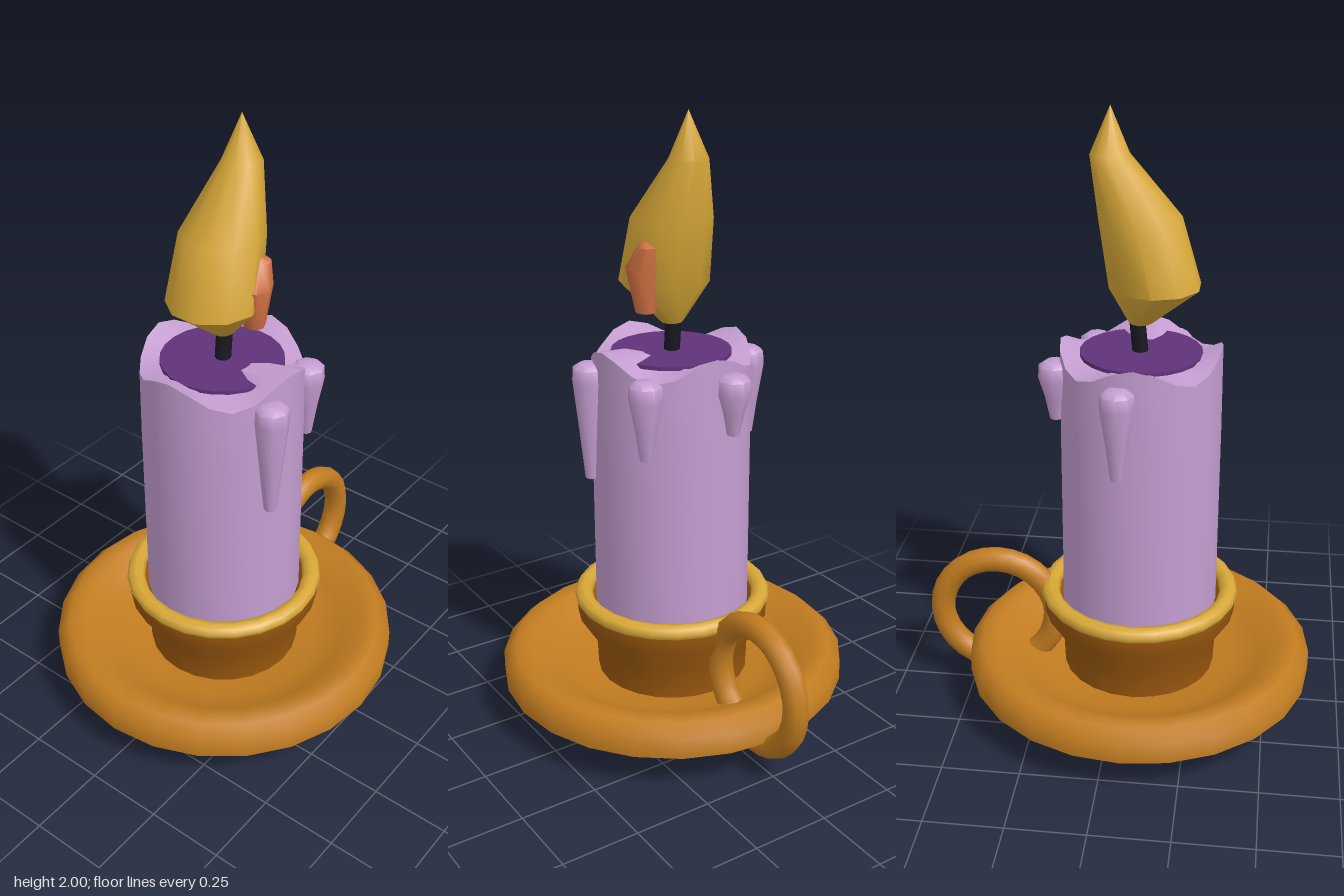
import * as THREE from 'three';
import { toCreasedNormals } from 'three/addons/utils/BufferGeometryUtils.js';

const mat = (name, color) => {
  const m = new THREE.MeshStandardMaterial({ color });
  m.name = name;
  return m;
};

// Turned shape from [radius, y] pairs, optionally reshaped by a vertex rule
function turned(profile, sides, crease = 0.6, rule = null) {
  const g = new THREE.LatheGeometry(profile.map(([r, y]) => new THREE.Vector2(r, y)), sides);
  if (rule) {
    const p = g.attributes.position, v = new THREE.Vector3();
    for (let i = 0; i < p.count; i++) {
      v.fromBufferAttribute(p, i);
      rule(v);
      p.setXYZ(i, v.x, v.y, v.z);
    }
  }
  return toCreasedNormals(g, crease);
}

// Piecewise linear sideways lean of the flame by height
function leanAt(y, table) {
  for (let i = 1; i < table.length; i++) {
    const [y0, x0] = table[i - 1], [y1, x1] = table[i];
    if (y <= y1) return x0 + (x1 - x0) * Math.max(0, (y - y0) / (y1 - y0));
  }
  return table[table.length - 1][1];
}

export function createModel() {
  const group = new THREE.Group();
  const copper = mat('copper', 0xc27c20);
  const brown = mat('dark copper', 0x9c590f);
  const gold = mat('gold', 0xd8a838);
  const wax = mat('lavender wax', 0xc49dd0);
  const melted = mat('melted purple wax', 0x5f337a);
  const black = mat('wick black', 0x17181f);
  const ember = mat('ember orange', 0xcf7042);
  const AXIS = -0.075;

  function add(name, geometry, material, x = AXIS, y = 0, z = 0) {
    const m = new THREE.Mesh(geometry, material);
    m.name = name;
    m.position.set(x, y, z);
    group.add(m);
    return m;
  }

  // Dish with a raised, rounded rim
  add('dish', turned([[0, 0.05], [0.3, 0.052], [0.46, 0.075], [0.57, 0.13], [0.57, 0.195],
    [0.53, 0.232], [0.475, 0.23], [0.41, 0.18], [0.32, 0.145], [0, 0.14]], 24, 0.9), copper);

  // Three flattened feet
  for (let i = 0; i < 3; i++) {
    const a = i * Math.PI * 2 / 3;
    const foot = add('foot', new THREE.SphereGeometry(0.085, 12, 8), brown,
      AXIS + 0.3 * Math.sin(a), 0.045, 0.3 * Math.cos(a));
    foot.scale.y = 0.5;
  }

  // Ring handle
  add('handle', new THREE.TorusGeometry(0.195, 0.041, 10, 28), copper, 0.405, 0.285);

  // Flared cup and its gold rim
  add('cup', turned([[0.25, 0.13], [0.255, 0.25], [0.315, 0.345], [0.318, 0.4],
    [0.27, 0.41], [0.25, 0.38], [0.24, 0.38]], 24), brown);
  const rim = add('cupRim', new THREE.TorusGeometry(0.295, 0.03, 8, 24), gold, AXIS, 0.41);
  rim.rotation.x = Math.PI / 2;
  rim.scale.z = 0.85;

  // Candle with a wavy top edge; the front crest folds over the pool
  add('candle', turned([[0.253, 0.36], [0.253, 1.0], [0.251, 1.25], [0.15, 1.235], [0, 1.23]], 24, 0.6, v => {
    if (v.y < 1.2) return;
    const r = Math.hypot(v.x, v.z), a = Math.atan2(v.x, v.z);
    if (r > 0.2) v.y += 0.034 * Math.cos(4 * a);
    else if (r > 0.1 && Math.abs(a) < 0.3) v.y += 0.035;
  }), wax);
  add('meltedPool', new THREE.CylinderGeometry(0.19, 0.19, 0.012, 24), melted, AXIS, 1.249);

  // Wax drips: x, z, lowest point
  for (const [x, z, low] of [[-0.16, 0.25, 0.84], [0.09, 0.2, 0.97], [0.185, -0.055, 1.03], [-0.03, -0.262, 0.93]]) {
    const h = 1.23 - low;
    add('waxDrip', turned([[0, 0], [0.02, 0.008], [0.035, h * 0.4], [0.054, h - 0.06],
      [0.052, h - 0.015], [0.03, h], [0, h]], 8, 0.9), wax, x, low, z);
  }

  // Wick, leaning slightly
  const wick = add('wick', new THREE.CylinderGeometry(0.025, 0.025, 0.2, 10), black, -0.066, 1.31);
  wick.rotation.z = -0.1;

  // Flame
  const flameLean = [[1.34, -0.07], [1.465, -0.115], [1.67, -0.07], [1.86, 0.022], [2, 0.02]];
  add('flame', turned([[0, 1.34], [0.035, 1.345], [0.142, 1.465], [0.127, 1.67], [0.06, 1.86], [0, 2]],
    10, 0.8, v => { v.x += leanAt(v.y, flameLean); }), gold, 0);

  // Ember glow on the front of the flame
  const emberLean = [[1.385, -0.055], [1.53, -0.062], [1.6, -0.035], [1.625, -0.045]];
  add('flameCore', turned([[0, 1.385], [0.032, 1.395], [0.058, 1.53], [0.035, 1.6], [0, 1.625]],
    8, 0.8, v => { v.x += leanAt(v.y, emberLean); }), ember, 0, 0, 0.106);

  return group;
}
